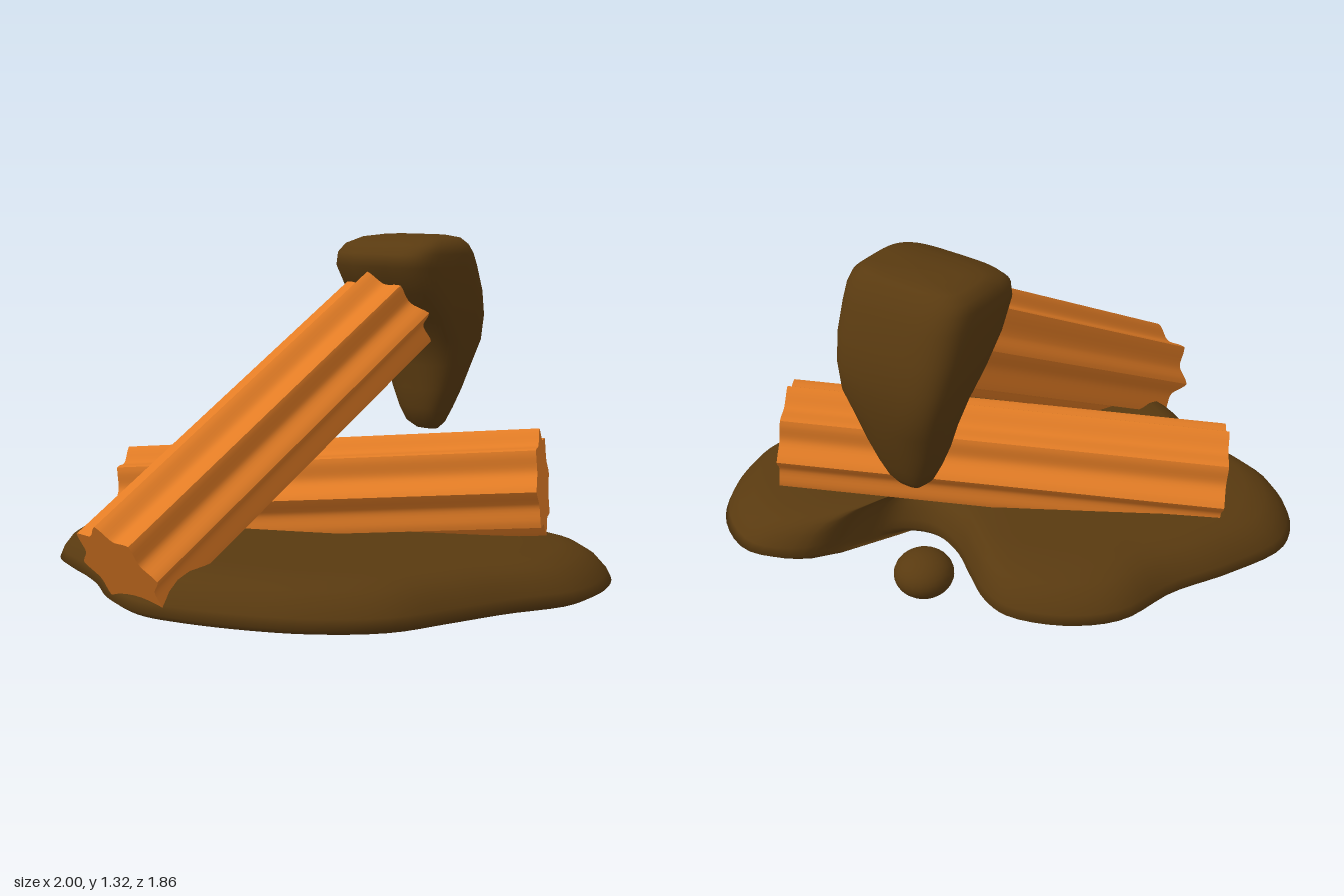
import * as THREE from 'three';
import { toCreasedNormals } from 'three/addons/utils/BufferGeometryUtils.js';

const dough = new THREE.MeshStandardMaterial({ color: 0xe27c25 });
dough.name = 'fried dough orange';
const chocolate = new THREE.MeshStandardMaterial({ color: 0x593a10 });
chocolate.name = 'chocolate brown';

// Smooth closed skin over a stack of equal-length rings, listed bottom to top;
// each ring runs from +x towards -z.
function loft(rings) {
  const n = rings[0].length;
  const index = [];
  for (let i = 0; i < rings.length - 1; i++) {
    for (let j = 0; j < n; j++) {
      const a = i * n + j, b = i * n + (j + 1) % n;
      index.push(a, b, b + n, a, b + n, a + n);
    }
  }
  const geometry = new THREE.BufferGeometry().setFromPoints(rings.flat());
  geometry.setIndex(index);
  geometry.computeVertexNormals();
  return geometry;
}

function addMesh(group, geometry, material, name) {
  const mesh = new THREE.Mesh(geometry, material);
  mesh.name = name;
  group.add(mesh);
  return mesh;
}

// Eight-ridged stick running between two points
function stick(group, from, to, name) {
  const points = [];
  for (let i = 0; i < 96; i++) {
    const t = i / 96 * Math.PI * 2;
    const r = 0.205 - 0.042 * Math.pow(Math.abs(Math.sin(4 * t)), 1.25);
    points.push(new THREE.Vector2(r * Math.cos(t), r * Math.sin(t)));
  }
  const geometry = new THREE.ExtrudeGeometry(new THREE.Shape(points), {
    depth: from.distanceTo(to), bevelEnabled: false,
  });
  const mesh = addMesh(group, toCreasedNormals(geometry, 0.7), dough, name);
  mesh.position.copy(from);
  mesh.lookAt(to);
}

// Wavy puddle: one outline, scaled through a rounded edge profile
function puddleGeometry() {
  const outline = [
    [-0.37, -0.69], [-0.57, -0.62], [-0.72, -0.48], [-0.79, -0.25], [-0.91, -0.03],
    [-1, 0.21], [-0.95, 0.38], [-0.82, 0.51], [-0.6, 0.58], [-0.4, 0.65], [-0.2, 0.75],
    [0, 0.79], [0.17, 0.75], [0.4, 0.65], [0.6, 0.52], [0.78, 0.31], [0.85, 0.06],
    [0.91, -0.18], [1, -0.45], [0.96, -0.66], [0.84, -0.84], [0.64, -0.93],
    [0.45, -0.84], [0.36, -0.66], [0.28, -0.51], [0.15, -0.45], [0, -0.49],
    [-0.13, -0.58], [-0.25, -0.66],
  ].map(([x, z]) => new THREE.Vector3(x, 0, z));
  const curve = new THREE.CatmullRomCurve3(outline, true).getPoints(120).slice(0, -1);
  const profile = [ // scale, height
    [0, 0], [0.6, 0.005], [0.88, 0.015], [0.96, 0.027], [1, 0.05], [0.985, 0.085],
    [0.95, 0.13], [0.9, 0.165], [0.83, 0.187], [0.7, 0.197], [0.4, 0.2], [0, 0.2],
  ];
  return loft(profile.map(([s, y]) => curve.map(
    (p) => new THREE.Vector3(0.05 + (p.x - 0.05) * s, y, p.z * s))));
}

// Dripping dip on the raised tip: rounded-square sections
function dipGeometry() {
  const sections = [ // y, front z, back z, half width
    [0.525, -0.76, -0.76, 0], [0.53, -0.735, -0.785, 0.05], [0.56, -0.695, -0.805, 0.085],
    [0.62, -0.67, -0.83, 0.115], [0.7, -0.655, -0.855, 0.15], [0.8, -0.645, -0.882, 0.185],
    [0.9, -0.625, -0.897, 0.212], [1, -0.54, -0.9, 0.235], [1.1, -0.46, -0.88, 0.248],
    [1.2, -0.4, -0.845, 0.25], [1.25, -0.41, -0.82, 0.248], [1.285, -0.45, -0.795, 0.235],
    [1.31, -0.53, -0.77, 0.2], [1.32, -0.6, -0.74, 0.13], [1.322, -0.67, -0.67, 0],
  ];
  return loft(sections.map(([y, zf, zb, w]) => {
    const power = y < 0.9 ? 0.75 : 0.52;
    return Array.from({ length: 48 }, (_, i) => {
      const t = i / 48 * Math.PI * 2;
      const c = Math.cos(t), s = -Math.sin(t);
      return new THREE.Vector3(
        -0.015 + w * Math.sign(c) * Math.pow(Math.abs(c), power), y,
        (zf + zb) / 2 + (zf - zb) / 2 * Math.sign(s) * Math.pow(Math.abs(s), power));
    });
  }));
}

export function createModel() {
  const group = new THREE.Group();
  group.name = 'dippedPastrySticks';

  addMesh(group, puddleGeometry(), chocolate, 'chocolatePuddle');

  stick(group, new THREE.Vector3(-0.73, 0.27, 0.21), new THREE.Vector3(0.675, 0.41, -0.635), 'lyingStick');
  stick(group, new THREE.Vector3(-0.03, 0.19, 0.826), new THREE.Vector3(-0.03, 1.04, -0.575), 'leaningStick');

  addMesh(group, dipGeometry(), chocolate, 'chocolateDip');

  // Fallen drop under the dip
  const drop = addMesh(group, new THREE.SphereGeometry(1, 24, 16), chocolate, 'chocolateDrop');
  drop.scale.set(0.11, 0.085, 0.11);
  drop.position.set(-0.02, 0.1, -0.71);

  return group;
}
